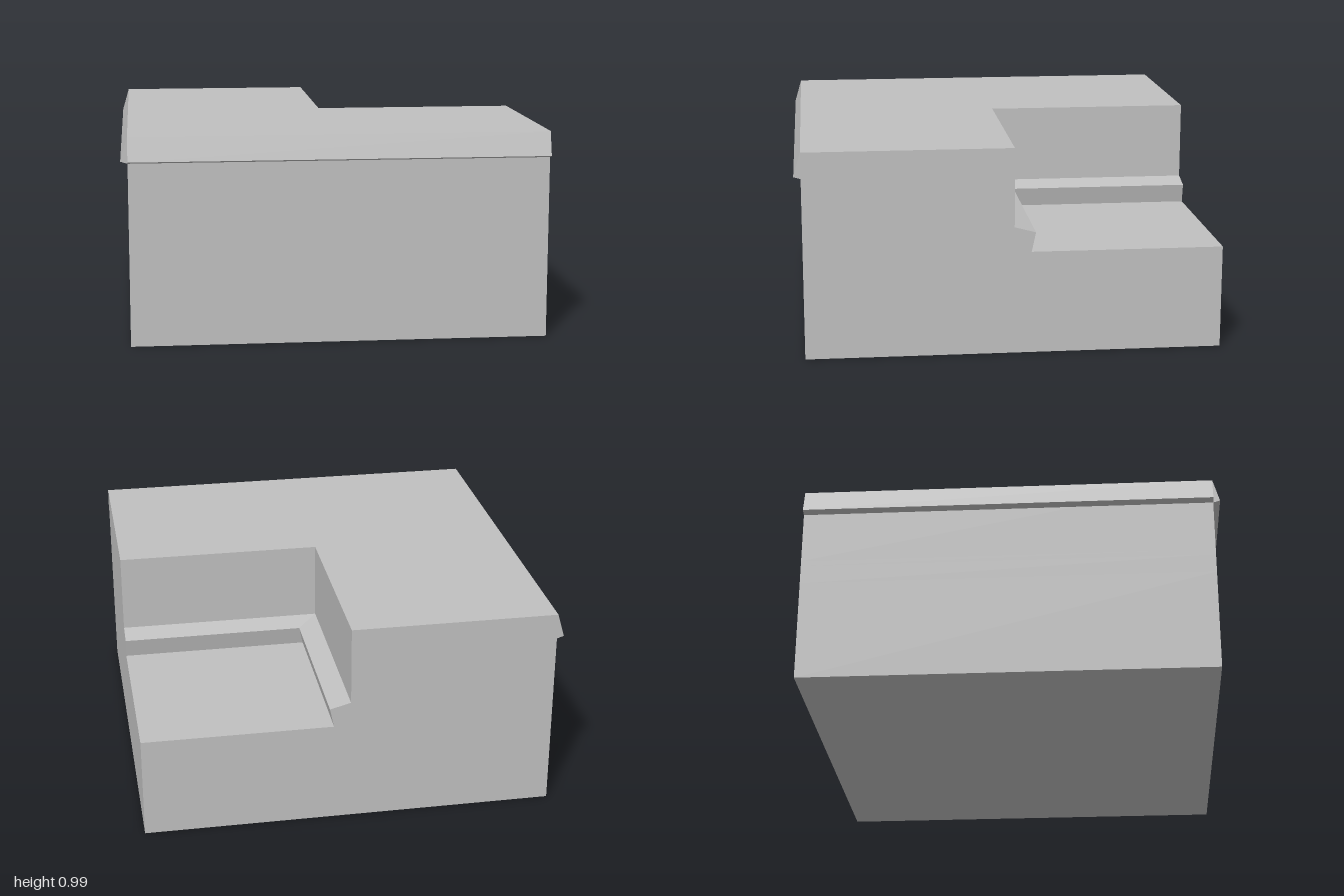
import * as THREE from 'three';
import { toCreasedNormals } from 'three/addons/utils/BufferGeometryUtils.js';

const MIN = -0.967, FRONT = 0.967, TOP = 0.985, FLOOR = 0.49;

// L-shaped outline whose inner corner sits at (c, -c), in x and z
const outline = c => [[MIN, -1], [MIN, FRONT], [1, FRONT], [1, -c], [c, -c], [c, -1]];

// Side walls through a stack of [height, inner corner] outlines, plus a flat top
function buildUpperBody(levels) {
  const pos = [];
  for (let i = 0; i < levels.length - 1; i++) {
    const [y0, c0] = levels[i], [y1, c1] = levels[i + 1];
    const low = outline(c0), high = outline(c1);
    for (let j = 0; j < 6; j++) {
      const k = (j + 1) % 6;
      const a = [low[j][0], y0, low[j][1]], b = [low[k][0], y0, low[k][1]];
      const d = [high[j][0], y1, high[j][1]], e = [high[k][0], y1, high[k][1]];
      pos.push(...a, ...b, ...e, ...a, ...e, ...d);
    }
  }
  const [y, c] = levels[levels.length - 1];
  const shape = new THREE.Shape(outline(c).map(([x, z]) => new THREE.Vector2(x, -z)));
  const cap = new THREE.ShapeGeometry(shape).rotateX(-Math.PI / 2).translate(0, y, 0).toNonIndexed();
  pos.push(...cap.attributes.position.array);
  const geo = new THREE.BufferGeometry();
  geo.setAttribute('position', new THREE.Float32BufferAttribute(pos, 3));
  geo.computeVertexNormals();
  return geo;
}

// Straight drip edge with a wedge profile; sign picks the side it points to
function buildEdge(sign) {
  const profile = [[FRONT, TOP], [1, 0.872], [FRONT, 0.862]];
  const shape = new THREE.Shape(profile.map(([u, y]) => new THREE.Vector2(sign * u, y)));
  return new THREE.ExtrudeGeometry(shape, { depth: 1.967, bevelEnabled: false });
}

export function createModel() {
  const group = new THREE.Group();
  const stone = new THREE.MeshStandardMaterial({ color: 0xc0c0c0 });
  stone.name = 'grey';
  const add = (name, geo) => {
    const mesh = new THREE.Mesh(toCreasedNormals(geo, 0.1), stone);
    mesh.name = name;
    group.add(mesh);
  };

  // Lower block, its top showing as the recessed floor
  add('base', new THREE.BoxGeometry(1 - MIN, FLOOR, 1 + FRONT)
    .translate((1 + MIN) / 2, FLOOR / 2, (FRONT - 1) / 2));

  // Raised L with an undercut ledge along the inner walls
  add('upperBody', buildUpperBody([[FLOOR, 0.093], [0.583, 0.113], [0.61, 0.013], [TOP, 0.013]]));

  // Overhanging edges along the front and the right side
  add('frontEdge', buildEdge(1).rotateY(-Math.PI / 2).translate(1, 0, 0));
  add('rightEdge', buildEdge(-1).translate(0, 0, -1));

  return group;
}
